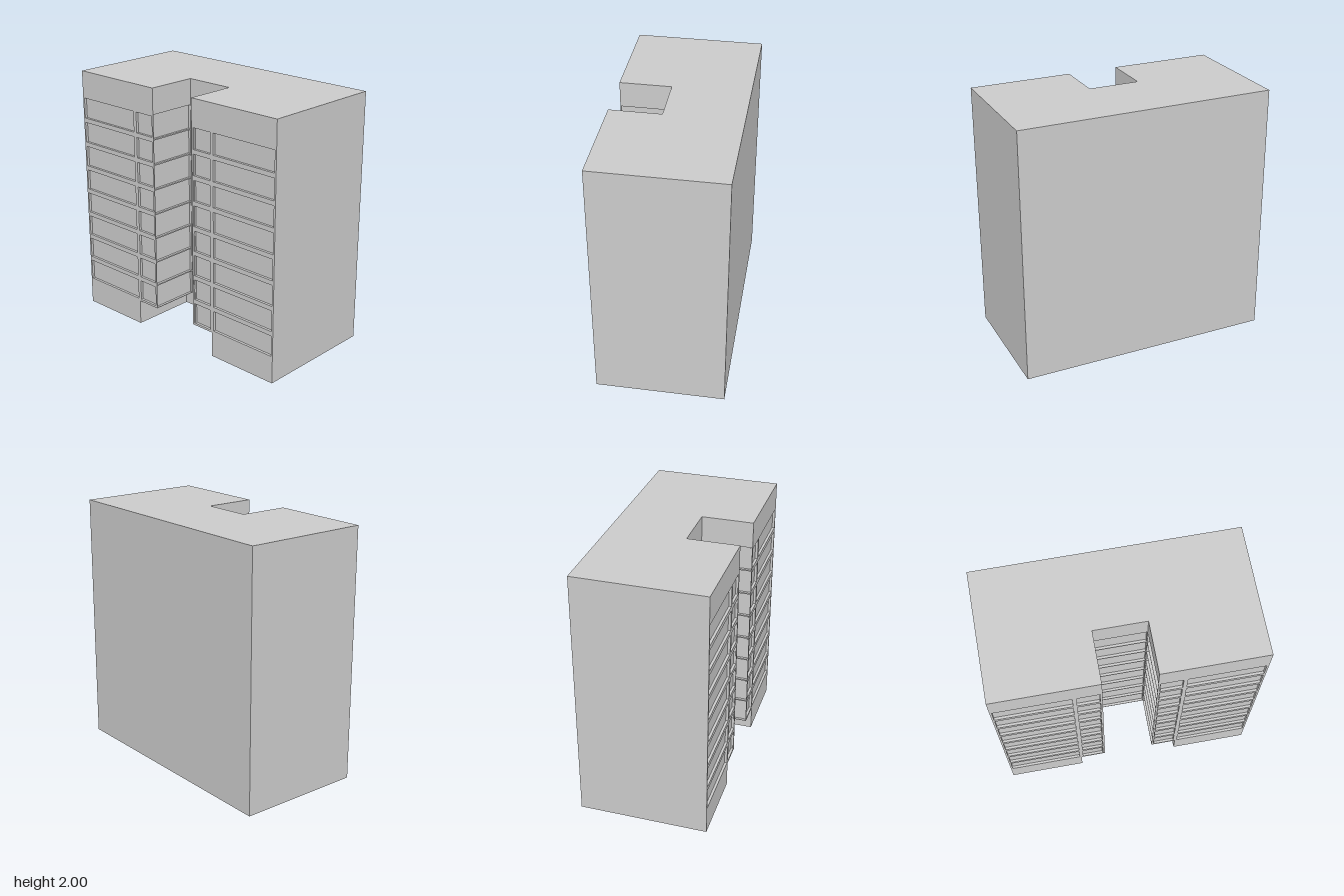
import * as THREE from 'three';

const material = new THREE.MeshStandardMaterial({ color: 0xcccccc, side: THREE.DoubleSide });
const RECESS = 0.02, FLOORS = 8, STOREY = 0.2;

const outline = (points) => new THREE.Shape(points.map(([x, y]) => new THREE.Vector2(x, y)));
const rectPoints = (x0, y0, x1, y1) => [[x0, y0], [x1, y0], [x1, y1], [x0, y1]];

function addMesh(parent, name, geometry) {
  const mesh = new THREE.Mesh(geometry, material);
  mesh.name = name;
  parent.add(mesh);
  return mesh;
}

// One window rectangle per upper storey
function windowColumn(x0, x1, margin) {
  return Array.from({ length: FLOORS }, (_, i) => {
    const y = (i + 1) * STOREY;
    return [x0, y + margin, x1, y + STOREY - margin];
  });
}

// Wall in its local xy plane facing +z, pierced by recessed windows
function makeWall(name, points, windows = []) {
  const wall = new THREE.Group();
  wall.name = name;
  const shape = outline(points);
  for (const w of windows) shape.holes.push(new THREE.Path(outline(rectPoints(...w)).getPoints()));
  addMesh(wall, name + 'Surface', new THREE.ShapeGeometry(shape));

  for (const [x0, y0, x1, y1] of windows) {
    // Box without its front face, turned inside out: four reveals and the pane
    const box = new THREE.BoxGeometry(x1 - x0, y1 - y0, RECESS);
    const index = Array.from(box.index.array).filter((_, i) => i < 24 || i >= 30);
    box.setIndex(index.reverse());
    box.clearGroups();
    const normal = box.attributes.normal;
    for (let i = 0; i < normal.count; i++) {
      normal.setXYZ(i, -normal.getX(i), -normal.getY(i), -normal.getZ(i));
    }
    box.translate((x0 + x1) / 2, (y0 + y1) / 2, -RECESS / 2);
    addMesh(wall, 'window', box);
  }
  return wall;
}

export function createModel() {
  const building = new THREE.Group();
  building.name = 'apartmentBuilding';

  function place(wall, x, z, turn = 0) {
    wall.position.set(x, 0, z);
    wall.rotation.y = turn;
    building.add(wall);
  }

  const porchBack = -0.03;
  const porchDepth = 0.5 - porchBack;

  for (const s of [1, -1]) {
    const side = s > 0 ? 'left' : 'right';
    const span = (a, b) => (s > 0 ? [a, b] : [-b, -a]);

    // Front of each wing, cut away at the ground floor for the porch
    const front = [[0.4, 0], [1, 0], [1, 2], [0.2, 2], [0.2, 0.2], [0.4, 0.2]].map(([x, y]) => [s * x, y]);
    place(makeWall(side + 'WingFront', front, [
      ...windowColumn(...span(0.215, 0.385), 0.018),
      ...windowColumn(...span(0.415, 0.985), 0.018),
    ]), 0, 0.5);

    // Courtyard side with nearly full-width windows
    place(makeWall(side + 'CourtWall', rectPoints(-0.2, 0.2, 0.2, 2),
      windowColumn(-0.195, 0.195, 0.005)), s * 0.2, 0.3, -s * Math.PI / 2);

    // Plain outer side and porch side
    place(makeWall(side + 'OuterWall', rectPoints(-0.5, 0, 0.5, 2)), s, 0, s * Math.PI / 2);
    place(makeWall(side + 'PorchWall', rectPoints(-porchDepth / 2, 0, porchDepth / 2, 0.2)),
      s * 0.4, (0.5 + porchBack) / 2, -s * Math.PI / 2);
  }

  place(makeWall('courtBackWall', rectPoints(-0.2, 0.2, 0.2, 2),
    windowColumn(-0.195, 0.195, 0.005)), 0, 0.1);
  place(makeWall('porchBackWall', rectPoints(-0.4, 0, 0.4, 0.2)), 0, porchBack);
  place(makeWall('backWall', rectPoints(-1, 0, 1, 2)), 0, -0.5, Math.PI);

  // U-shaped roof, drawn with y standing for -z
  const roof = new THREE.ShapeGeometry(outline([
    [-1, -0.5], [-0.2, -0.5], [-0.2, -0.1], [0.2, -0.1], [0.2, -0.5], [1, -0.5], [1, 0.5], [-1, 0.5],
  ])).rotateX(-Math.PI / 2);
  addMesh(building, 'roof', roof).position.y = 2;

  // Porch ceiling around the open court, drawn with y standing for z
  const ceiling = new THREE.ShapeGeometry(outline([
    [-0.4, porchBack], [0.4, porchBack], [0.4, 0.5], [0.2, 0.5],
    [0.2, 0.1], [-0.2, 0.1], [-0.2, 0.5], [-0.4, 0.5],
  ])).rotateX(Math.PI / 2);
  addMesh(building, 'porchCeiling', ceiling).position.y = 0.2;

  // Arched door set behind the porch wall
  const arch = new THREE.Shape();
  arch.moveTo(-0.08, 0).lineTo(0.08, 0).lineTo(0.08, 0.13);
  arch.absellipse(0, 0.13, 0.08, 0.045, 0, Math.PI, false);
  arch.lineTo(-0.08, 0);
  const door = new THREE.ExtrudeGeometry(arch, { depth: 0.02, bevelEnabled: false, curveSegments: 8 });
  addMesh(building, 'door', door).position.z = porchBack - 0.021;

  return building;
}
